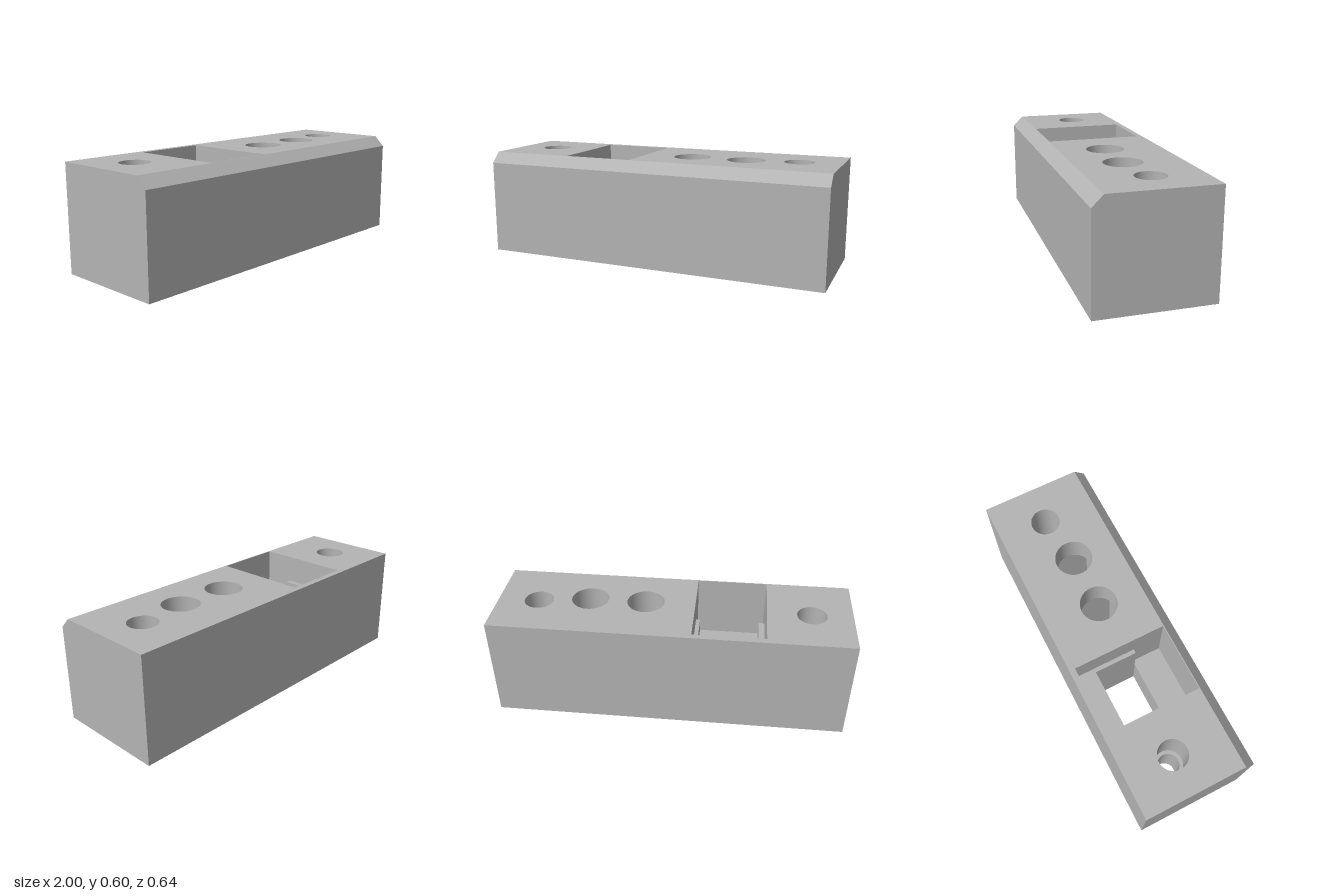
import * as THREE from 'three';
import { mergeGeometries } from 'three/addons/utils/BufferGeometryUtils.js';

const SEG = 64;
const H = 0.6, D = 0.32, CHAMFER = 0.06;

// flat four-sided face, corners counter-clockwise seen from its front
function quad(a, b, c, d) {
  const g = new THREE.BufferGeometry();
  g.setAttribute('position', new THREE.Float32BufferAttribute([a, b, c, a, c, d].flat(), 3));
  g.computeVertexNormals();
  return g;
}

// vertical walls along a path of [x, z] points; walking +x faces +z
function walls(path, y0, y1, closed = true) {
  const list = [];
  const count = closed ? path.length : path.length - 1;
  for (let i = 0; i < count; i++) {
    const [x0, z0] = path[i], [x1, z1] = path[(i + 1) % path.length];
    list.push(quad([x0, y0, z0], [x1, y0, z1], [x1, y1, z1], [x0, y1, z0]));
  }
  return merge(list);
}

// horizontal face with holes; dir 1 faces up, -1 faces down
function face(outline, holes, y, dir) {
  const pts = (path) => path.map(([x, z]) => new THREE.Vector2(x, -dir * z));
  const shape = new THREE.Shape(pts(outline));
  shape.holes = holes.map((h) => new THREE.Path(pts(h)));
  return new THREE.ShapeGeometry(shape).rotateX(-dir * Math.PI / 2).translate(0, y, 0);
}

// round bore from [radius, y] points running downwards, each step sharp-edged
function bore(x, z, profile) {
  const list = [];
  for (let i = 0; i + 1 < profile.length; i++) {
    const pts = [profile[i], profile[i + 1]].map(([r, y]) => new THREE.Vector2(r, y));
    list.push(new THREE.LatheGeometry(pts, SEG).translate(x, 0, z));
  }
  return merge(list);
}

function merge(list) {
  return mergeGeometries(list.map((g) => {
    const n = g.index ? g.toNonIndexed() : g;
    n.deleteAttribute('uv');
    return n;
  }));
}

const rect = (x0, x1, z0, z1) => [[x0, z0], [x1, z0], [x1, z1], [x0, z1]];
const circle = (x, z, r) => Array.from({ length: SEG }, (_, i) => {
  const a = (i / SEG) * Math.PI * 2;
  return [x + r * Math.sin(a), z + r * Math.cos(a)];
});

export function createModel() {
  const group = new THREE.Group();
  const grey = new THREE.MeshStandardMaterial({ color: 0xb4b4b4 });
  grey.name = 'grey';
  const add = (name, ...geometries) => {
    const mesh = new THREE.Mesh(merge(geometries), grey);
    mesh.name = name;
    group.add(mesh);
  };

  // stepped socket: wide recess, deeper front half, through slot
  const [rx0, rx1, rz0, rz1] = [-0.524, -0.123, -0.286, 0.255];
  const [sx0, sx1, sz0, sz1] = [-0.49, -0.147, -0.176, 0.078];
  const backFloor = 0.443, frontFloor = 0.24;
  const recess = rect(rx0, rx1, rz0, rz1);
  const slot = rect(sx0, sx1, sz0, sz1);
  const middle = [[sx0, sz0], [sx1, sz0], [sx1, sz1], [rx1, sz1],
    [rx1, rz1], [rx0, rz1], [rx0, sz1], [sx0, sz1]];
  const ledge = [[rx0, rz0], [rx1, rz0], [rx1, sz1], [sx1, sz1],
    [sx1, sz0], [sx0, sz0], [sx0, sz1], [rx0, sz1]];
  add('socketRecess',
    walls(recess, backFloor, H), walls(middle, frontFloor, backFloor), walls(slot, 0, frontFloor),
    face(ledge, [], backFloor, 1), face(rect(rx0, rx1, sz1, rz1), [], frontFloor, 1));

  const topHoles = [recess], bottomHoles = [slot];

  // counterbored screw holes
  for (const x of [-0.773, 0.767]) {
    const z = -0.043, head = 0.083, shank = 0.062, seat = 0.3;
    add('screwHole', bore(x, z, [[head, H], [head, seat], [shank, seat], [shank, 0]]));
    topHoles.push(circle(x, z, head));
    bottomHoles.push(circle(x, z, shank));
  }

  // round openings that widen into rectangular pockets underneath
  for (const x of [0.159, 0.478]) {
    const r = 0.106, ceiling = 0.44;
    const pocket = rect(x - 0.109, x + 0.109, -0.132, 0.122);
    add('roundOpening', bore(x, 0, [[r, H], [r, ceiling]]));
    add('lowerPocket', walls(pocket, 0, ceiling), face(pocket, [circle(x, 0, r)], ceiling, -1));
    topHoles.push(circle(x, 0, r));
    bottomHoles.push(pocket);
  }

  // outer block with a chamfered front top edge
  const zc = D - CHAMFER, yc = H - CHAMFER;
  add('blockTop', face(rect(-1, 1, -D, zc), topHoles, H, 1));
  add('blockBottom', face(rect(-1, 1, -D, D), bottomHoles, 0, -1));
  add('blockFront', walls([[-1, D], [1, D]], 0, yc, false));
  add('blockBack', walls([[1, -D], [-1, -D]], 0, H, false));
  add('frontChamfer', quad([-1, yc, D], [1, yc, D], [1, H, zc], [-1, H, zc]));
  for (const side of [1, -1]) {
    const profile = [[-D, 0], [D, 0], [D, yc], [zc, H], [-D, H]];
    const shape = new THREE.Shape(profile.map(([z, y]) => new THREE.Vector2(-side * z, y)));
    add(side > 0 ? 'leftEnd' : 'rightEnd',
      new THREE.ShapeGeometry(shape).rotateY(side * Math.PI / 2).translate(side, 0, 0));
  }
  return group;
}
